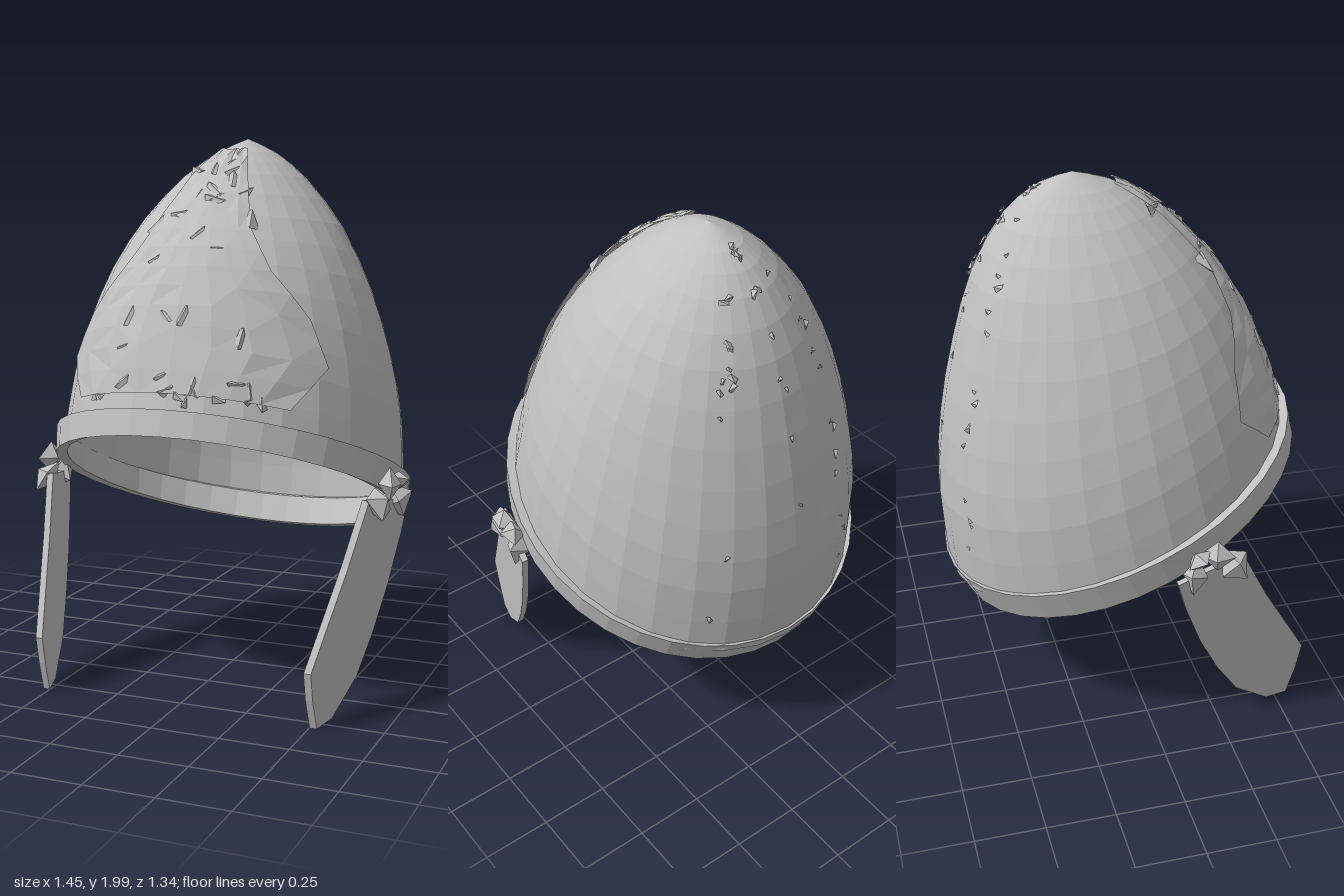
import * as THREE from 'three';

const steel = new THREE.MeshStandardMaterial({ color: 0xc0c0c0, flatShading: true, side: THREE.DoubleSide });
steel.name = 'grey steel';

let seed = 7;
const rand = (a = 0, b = 1) => {
  seed = (seed * 16807) % 2147483647;
  return a + (b - a) * (seed / 2147483647);
};
const rad = THREE.MathUtils.degToRad;

// Surface from a function of u and v, both 0..1
function grid(fn, nu, nv) {
  const pos = [], index = [];
  for (let j = 0; j <= nv; j++)
    for (let i = 0; i <= nu; i++) pos.push(...fn(i / nu, j / nv).toArray());
  for (let j = 0; j < nv; j++)
    for (let i = 0; i < nu; i++) {
      const a = j * (nu + 1) + i, b = a + 1, d = a + nu + 1, c = d + 1;
      if ((i + j) % 2) index.push(a, b, c, a, c, d);
      else index.push(a, b, d, b, c, d);
    }
  const g = new THREE.BufferGeometry();
  g.setAttribute('position', new THREE.Float32BufferAttribute(pos, 3));
  g.setIndex(index);
  g.computeVertexNormals();
  return g;
}

// Tilted ring: front point and back point in (z, y), with half width w
function ringPoint(zf, yf, zb, yb, w, phi) {
  const c = Math.cos(phi);
  return new THREE.Vector3(
    w * Math.sin(phi),
    (yf + yb) / 2 + c * (yf - yb) / 2,
    (zf + zb) / 2 + c * (zf - zb) / 2
  );
}

// Dome rings from rim to tip: front z, front y, back z, back y, half width
const rings = [
  [0.625, 1.05, -0.65, 0.49, 0.64],
  [0.56, 1.25, -0.672, 0.8, 0.618],
  [0.49, 1.42, -0.65, 1.07, 0.567],
  [0.40, 1.58, -0.59, 1.37, 0.485],
  [0.28, 1.73, -0.51, 1.64, 0.37],
  [0.13, 1.87, -0.40, 1.84, 0.225],
  [0.0, 1.95, -0.28, 1.95, 0.105],
  [-0.15, 2.0, -0.15, 2.0, 0]
];
const fronts = new THREE.CatmullRomCurve3(rings.map(r => new THREE.Vector3(r[0], r[1], r[4])));
const backs = new THREE.CatmullRomCurve3(rings.map(r => new THREE.Vector3(r[2], r[3], 0)));

function domePoint(phi, t, lift = 0) {
  const f = fronts.getPoint(t), b = backs.getPoint(t);
  const p = ringPoint(f.x, f.y, b.x, b.y, f.z, phi);
  if (lift) p.add(domeNormal(phi, t).multiplyScalar(lift));
  return p;
}
function domeNormal(phi, t) {
  const p = domePoint(phi, t);
  const du = domePoint(phi + 0.02, t).sub(p), dv = domePoint(phi, Math.min(t + 0.02, 1)).sub(p);
  return du.cross(dv).normalize();
}

function createModel() {
  const model = new THREE.Group();
  const add = (name, geometry, parent = model) => {
    const mesh = new THREE.Mesh(geometry, steel);
    mesh.name = name;
    parent.add(mesh);
    return mesh;
  };

  // Pointed dome
  add('dome', grid((u, v) => domePoint(u * Math.PI * 2, v), 30, 14));

  // Raised front plate, with a half angle that changes from rim to tip
  const plateAngles = [38, 51, 46, 33, 26, 25, 26, 28];
  add('frontPlate', grid((u, v) => {
    const k = v * (plateAngles.length - 1), i = Math.min(Math.floor(k), plateAngles.length - 2);
    const half = rad(THREE.MathUtils.lerp(plateAngles[i], plateAngles[i + 1], k - i));
    return domePoint((u * 2 - 1) * half, 0.06 + v * 0.8, 0.008 + rand(0, 0.008));
  }, 8, 14));

  // Rim band: a closed strip around the tilted opening
  const bandSection = [
    [0.63, 1.0, -0.575, 0.43, 0.615],
    [0.668, 1.0, -0.605, 0.415, 0.655],
    [0.645, 1.09, -0.662, 0.53, 0.668],
    [0.605, 1.08, -0.63, 0.53, 0.635],
    [0.63, 1.0, -0.575, 0.43, 0.615]
  ];
  add('rimBand', grid((u, v) => ringPoint(...bandSection[Math.round(v * 4)], u * Math.PI * 2), 36, 4));

  // Cheek guards with rough hinge knots
  const outline = [[0.31, 0.76], [0.42, 0.54], [0.605, 0.22], [0.585, 0.12], [0.55, 0.01], [0.46, 0.02],
    [0.32, 0.13], [0.23, 0.27], [0.15, 0.43], [0.085, 0.6], [0.05, 0.72]];
  const guardShape = new THREE.Shape(outline.map(([z, y]) => new THREE.Vector2(z, y)));
  for (const side of [1, -1]) {
    const cheek = new THREE.Group();
    cheek.name = side > 0 ? 'leftCheekGuard' : 'rightCheekGuard';
    model.add(cheek);

    const plate = new THREE.ExtrudeGeometry(guardShape, { depth: 0.026, bevelEnabled: false });
    const p = plate.attributes.position;
    for (let i = 0; i < p.count; i++) {
      const z = p.getX(i), y = p.getY(i), d = p.getZ(i);
      p.setXYZ(i, side * (0.487 + 0.27 * (0.6 - z) + 0.05 * y + d), y, z);
    }
    if (side > 0) { // keep the faces outward on the unmirrored side
      const order = [];
      for (let i = 0; i < p.count; i += 3) order.push(i, i + 2, i + 1);
      plate.setIndex(order);
    }
    plate.computeVertexNormals();
    add('cheekPlate', plate, cheek);

    const knots = [[0.67, 0.8, 0.2, 0.055], [0.65, 0.74, 0.27, 0.06], [0.67, 0.73, 0.12, 0.06], [0.68, 0.8, 0.13, 0.045]];
    knots.forEach(([x, y, z, r], i) => {
      const knot = add('hingeKnot', new THREE.OctahedronGeometry(r), cheek);
      knot.position.set(side * x, y, z);
      knot.scale.set(0.75, 1.1, 1.15);
      knot.rotation.set(i * 0.9, side * 0.4, side * i * 0.5);
    });
  }

  // Small torn flakes along the front plate, rear seams and rim
  const damage = new THREE.Group();
  damage.name = 'surfaceDamage';
  model.add(damage);
  const up = new THREE.Vector3(0, 1, 0);
  const flakes = (count, phi, spread, t0, t1, size) => {
    for (let i = 0; i < count; i++) {
      const a = rad(phi + rand(-spread, spread)), t = rand(t0, t1);
      const flake = add('flake', new THREE.TetrahedronGeometry(size * rand(0.6, 1.2)), damage);
      flake.position.copy(domePoint(a, t, 0.006));
      flake.quaternion.setFromUnitVectors(up, domeNormal(a, t));
      flake.rotateY(rand(0, 6));
      flake.scale.set(1.3, 0.45, 0.7);
    }
  };
  flakes(22, 0, 26, 0.12, 0.8, 0.045);
  flakes(14, 0, 30, 0.03, 0.1, 0.035);
  flakes(12, 180, 3, 0.3, 0.9, 0.02);
  for (const s of [1, -1]) flakes(14, s * 153, 4, 0.05, 0.75, 0.02);

  return model;
}

export { createModel };
